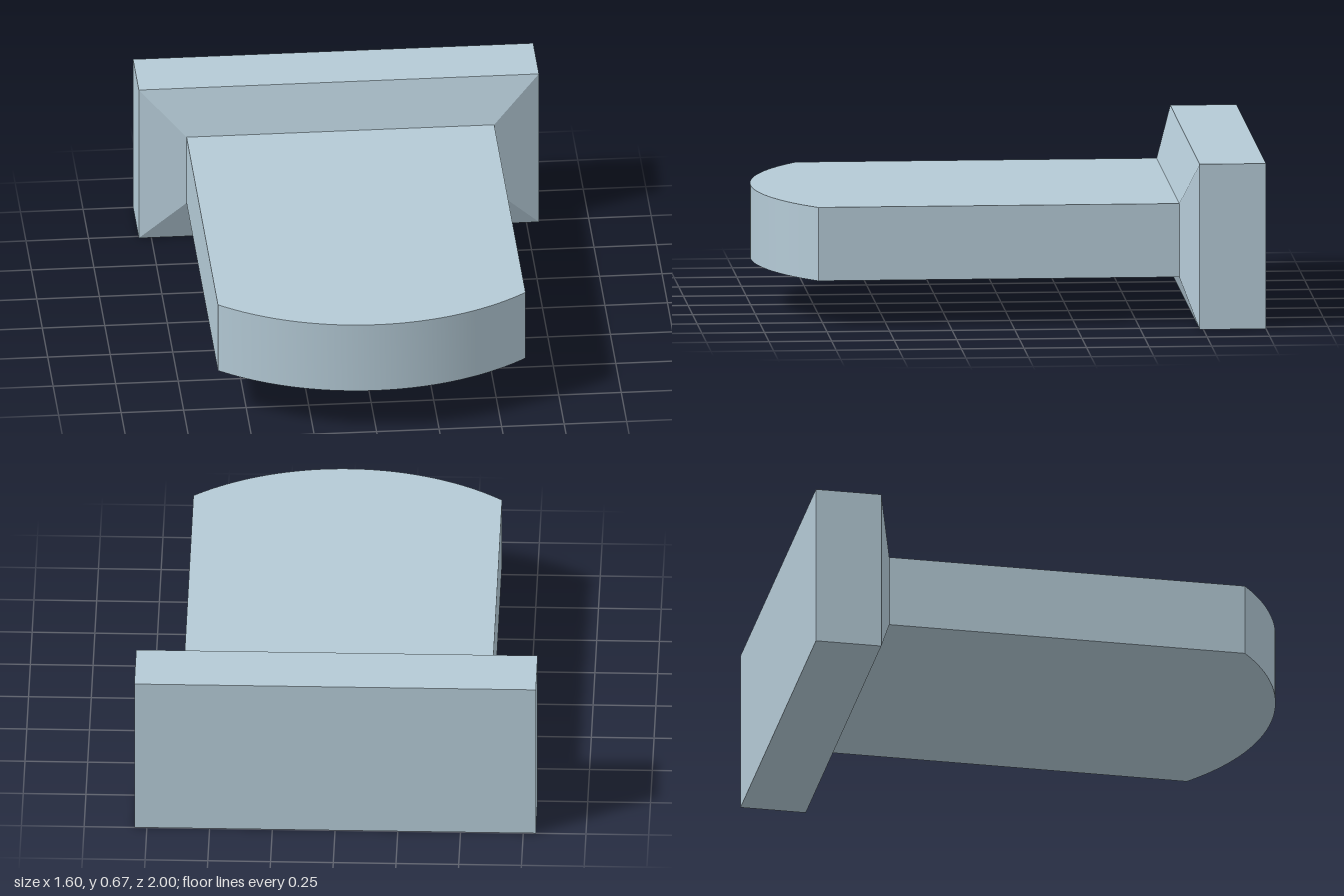
import * as THREE from 'three';
import { toCreasedNormals } from 'three/addons/utils/BufferGeometryUtils.js';

const MID_Y = 0.333;      // shared mid height
const HALF_W = 0.615;     // tongue half width
const HALF_H = 0.148;     // tongue half height
const JOINT_Z = -0.667;   // where the tongue meets the flange

// Flat bar with a bowed front end
function tongueGeometry() {
  const cornerZ = 0.775, rise = 1 - cornerZ;
  const radius = (HALF_W ** 2 + rise ** 2) / (2 * rise);
  const angle = Math.asin(HALF_W / radius);
  const shape = new THREE.Shape();
  shape.moveTo(HALF_W, -JOINT_Z);
  shape.lineTo(-HALF_W, -JOINT_Z);
  shape.lineTo(-HALF_W, -cornerZ);
  shape.absarc(0, radius - 1, radius, -Math.PI / 2 - angle, -Math.PI / 2 + angle, false);
  shape.closePath();
  const geometry = new THREE.ExtrudeGeometry(shape, {
    depth: 2 * HALF_H, bevelEnabled: false, curveSegments: 48,
  });
  geometry.rotateX(-Math.PI / 2).translate(0, MID_Y - HALF_H, 0);
  return toCreasedNormals(geometry, 0.4);
}

// Rectangular plate whose front edges slope in to the tongue
function flangeGeometry() {
  const box = new THREE.BoxGeometry(1.6, 2 * MID_Y, 2, 1, 1, 2);
  const p = box.attributes.position;
  for (let i = 0; i < p.count; i++) {
    const z = p.getZ(i);
    if (z > 0.5) {
      p.setXYZ(i, Math.sign(p.getX(i)) * HALF_W, Math.sign(p.getY(i)) * HALF_H, JOINT_Z);
    } else {
      p.setZ(i, z < -0.5 ? -1 : -0.735);
    }
  }
  const geometry = box.toNonIndexed();
  geometry.computeVertexNormals();
  return geometry.translate(0, MID_Y, 0);
}

export function createModel() {
  const group = new THREE.Group();
  const material = new THREE.MeshStandardMaterial({ color: 0xb4cad6 });
  const add = (name, geometry) => {
    const mesh = new THREE.Mesh(geometry, material);
    mesh.name = name;
    group.add(mesh);
  };
  add('tongue', tongueGeometry());
  add('flange', flangeGeometry());
  return group;
}
